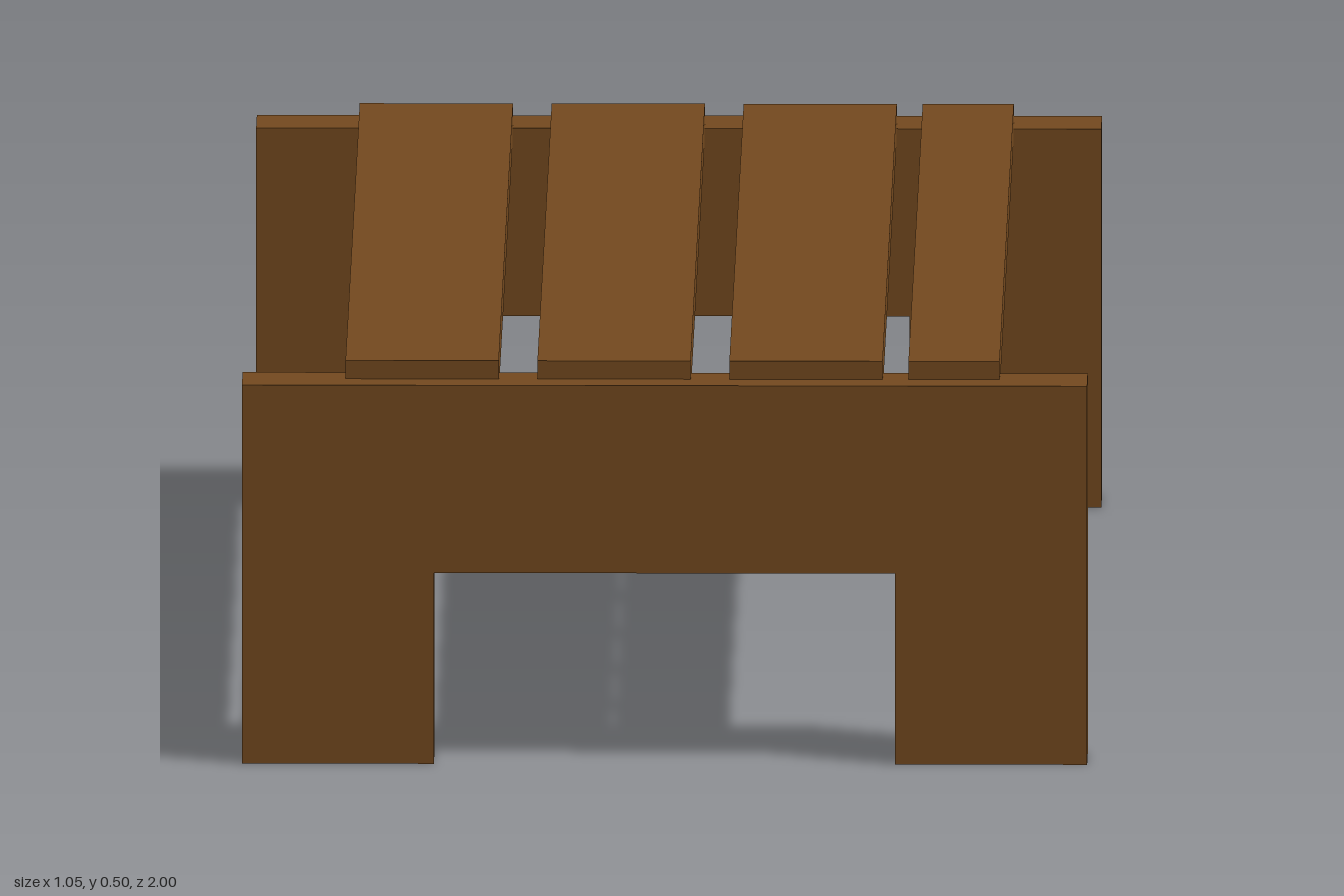
import * as THREE from 'three';

export function createModel() {
  const group = new THREE.Group();
  const wood = new THREE.MeshStandardMaterial({ color: 0x754a1f });

  // End frames: one board with a rectangular cut-out between two legs
  const [w, h, inner, arch, t] = [0.524, 0.476, 0.286, 0.24, 0.095];
  const outline = new THREE.Shape([
    [-w, 0], [-inner, 0], [-inner, arch], [inner, arch],
    [inner, 0], [w, 0], [w, h], [-w, h],
  ].map(([x, y]) => new THREE.Vector2(x, y)));
  const endGeometry = new THREE.ExtrudeGeometry(outline, { depth: t, bevelEnabled: false });
  for (const [name, z] of [['frontEndFrame', 1 - t], ['backEndFrame', -1]]) {
    const end = new THREE.Mesh(endGeometry, wood);
    end.name = name;
    end.position.z = z;
    group.add(end);
  }

  // Top slats, let into the end frames; the last one is narrower
  const bottom = 0.458, top = 0.499;
  [[-0.396, -0.206], [-0.158, 0.032], [0.08, 0.27], [0.302, 0.415]].forEach(([x0, x1], i) => {
    const slat = new THREE.Mesh(new THREE.BoxGeometry(x1 - x0, top - bottom, 1.905), wood);
    slat.name = `slat${i + 1}`;
    slat.position.set((x0 + x1) / 2, (bottom + top) / 2, 0);
    group.add(slat);
  });

  return group;
}
